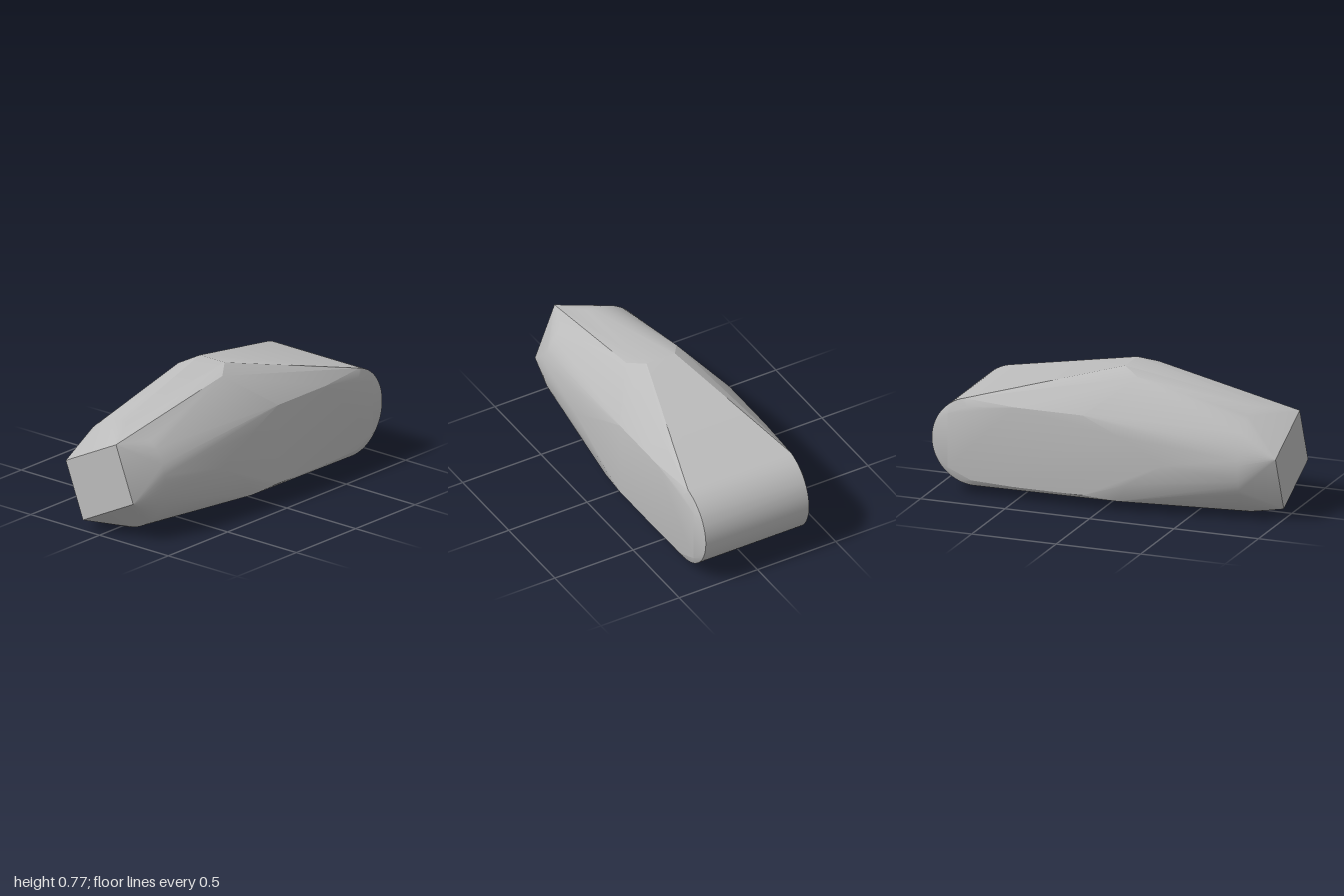
import * as THREE from 'three';
import { toCreasedNormals } from 'three/addons/utils/BufferGeometryUtils.js';
import { ConvexGeometry } from 'three/addons/geometries/ConvexGeometry.js';

export function createModel() {
  const group = new THREE.Group();
  group.name = 'taperedBody';
  const grey = new THREE.MeshStandardMaterial({ color: 0xbcbcbc });
  grey.name = 'plain grey';

  const points = [];
  const add = (x, y, z) => points.push(new THREE.Vector3(x, y, z));
  const addPair = (x, y, z) => { add(x, y, z); add(x, y, -z); };

  // twisted square end
  [[0.56, 0.12], [0.24, 0.245], [0.06, -0.12], [0.38, -0.245]].forEach(([y, z]) => add(-1, y, z));

  // round collar behind the square end
  const collarSides = 64;
  for (let i = 0; i < collarSides; i++) {
    const a = (i / collarSides) * Math.PI * 2;
    add(-0.8, 0.309 + 0.309 * Math.sin(a), 0.309 * Math.cos(a));
  }

  // raised crown
  addPair(-0.05, 0.77, 0.09);
  addPair(-0.15, 0.735, 0.16);

  // half-round nose
  const noseSteps = 32;
  for (let i = 0; i <= noseSteps; i++) {
    const a = -Math.PI / 2 + (i / noseSteps) * (Math.PI / 2 + 1.33);
    addPair(0.7475 + 0.2525 * Math.cos(a), 0.308 + 0.2525 * Math.sin(a), 0.33);
  }

  // flat cheeks, with a narrow chamfer up to the nose
  [[-0.38, 0.305], [-0.12, 0.44], [0.1, 0.54], [0.5, 0.54], [0.78, 0.51], [0.9, 0.46],
    [0.9, 0.15], [0.76, 0.09], [0.5, 0.08], [0.1, 0.08], [-0.16, 0.17]]
    .forEach(([x, y]) => addPair(x, y, 0.35));

  // lower side corners
  addPair(-0.1, 0.06, 0.325);

  const body = new THREE.Mesh(toCreasedNormals(new ConvexGeometry(points), 0.45), grey);
  body.name = 'body';
  group.add(body);
  return group;
}
